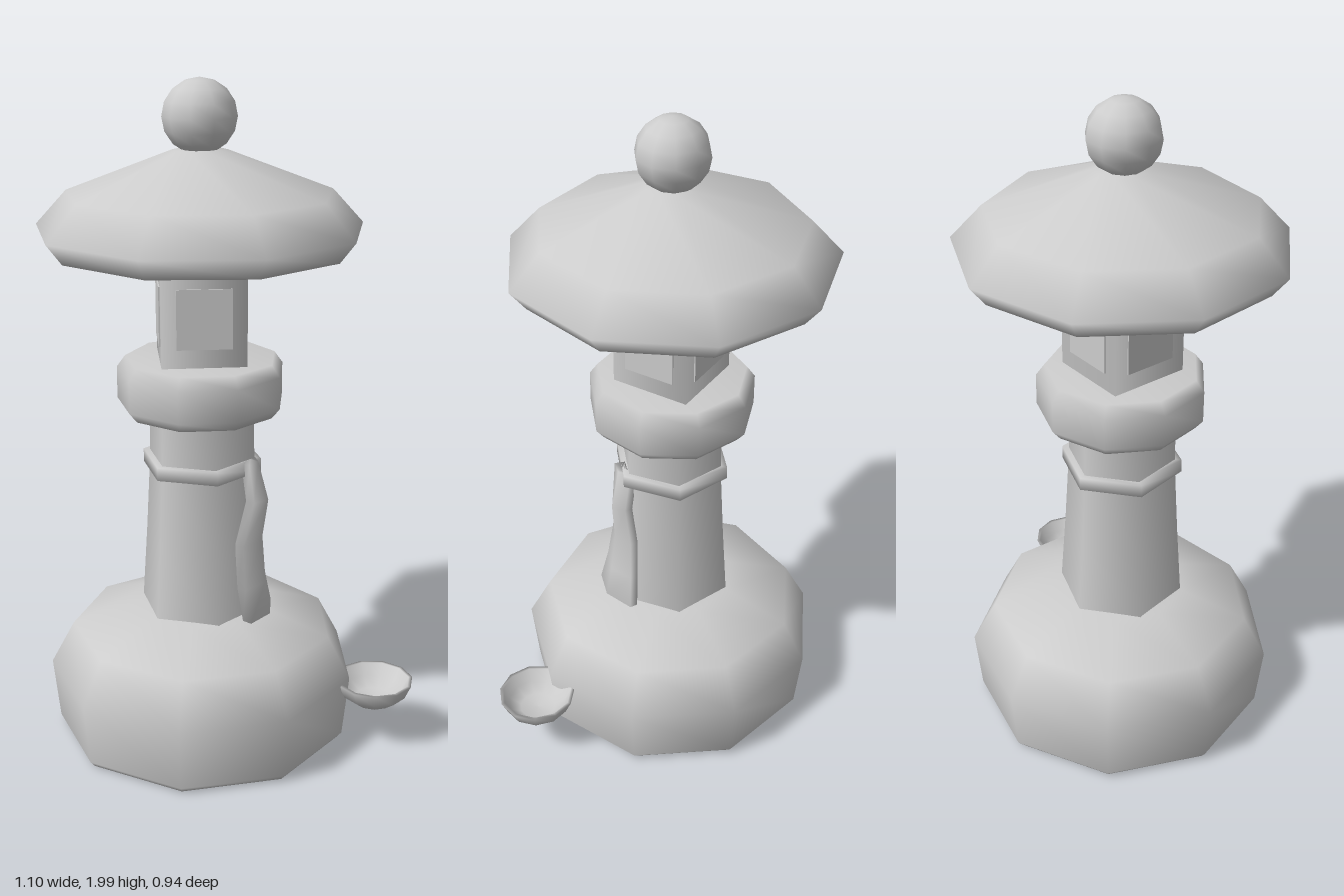
import * as THREE from 'three';

const CX = -0.08; // axis of the tower

export function createModel() {
  const group = new THREE.Group();
  const stone = new THREE.MeshStandardMaterial({ color: 0xcccccc });
  stone.name = 'stone grey';

  const add = (name, geometry, x = CX, y = 0, z = 0) => {
    const mesh = new THREE.Mesh(geometry, stone);
    mesh.name = name;
    mesh.position.set(x, y, z);
    group.add(mesh);
    return mesh;
  };

  // Few-sided turned part; angle is that of one corner, from +x towards +z
  const turned = (name, profile, sides, angle, x, y, z) => add(name,
    new THREE.LatheGeometry(profile.map(([r, h]) => new THREE.Vector2(r, h)), sides,
      THREE.MathUtils.degToRad(90 - angle)), x, y, z);

  // Tower, from the ground up
  turned('base', [[0, 0.01], [0.435, 0.012], [0.45, 0.03], [0.47, 0.22], [0.4, 0.35], [0.2, 0.42], [0, 0.425]], 9, -17);
  turned('shaft', [[0.192, 0.4], [0.175, 0.65], [0.162, 0.88], [0.16, 1.06]], 6, 20);
  turned('band', [[0.155, 0.86], [0.182, 0.86], [0.182, 0.9], [0.155, 0.9]], 6, 20);
  turned('collar', [[0.12, 1.04], [0.225, 1.04], [0.25, 1.07], [0.25, 1.165], [0.225, 1.2], [0, 1.2]], 9, -10);

  // Square light chamber with a window plate on each side
  const half = 0.123;
  turned('lightChamber', [[half * Math.SQRT2, 1.19], [half * Math.SQRT2, 1.5]], 4, 45);
  for (let i = 0; i < 4; i++) {
    const a = i * Math.PI / 2;
    const plate = add('window', new THREE.BoxGeometry(0.16, 0.175, 0.008),
      CX + Math.sin(a) * half, 1.342, Math.cos(a) * half);
    plate.rotation.y = a;
  }

  // Roof and finial
  turned('roof', [[0, 1.478], [0.13, 1.478], [0.435, 1.52], [0.482, 1.58], [0.39, 1.68], [0.08, 1.8], [0, 1.81]], 9, -6);
  add('finial', new THREE.SphereGeometry(0.107, 10, 8), CX, 1.893, 0);

  // Hanging cloth: rows of y, front edge x z, fold x z, back edge x z
  const rows = [
    [0.9, 0.05, 0.122, 0.08, 0.09, 0.075, 0.05],
    [0.78, 0.065, 0.122, 0.11, 0.095, 0.105, 0.05],
    [0.65, 0.03, 0.145, 0.09, 0.1, 0.1, 0.035],
    [0.52, 0.035, 0.165, 0.1, 0.11, 0.11, 0.03],
    [0.42, 0.05, 0.185, 0.115, 0.12, 0.13, 0.02],
  ];
  const positions = [];
  const index = [];
  const t = 0.022;
  for (const [y, ax, az, fx, fz, bx, bz] of rows) {
    positions.push(ax, y, az, fx, y, fz, bx, y, bz,
      bx - t, y, bz - t / 2, fx - t, y, fz - t, ax - t, y, az - t);
  }
  for (let r = 0; r < rows.length - 1; r++) {
    for (let c = 0; c < 6; c++) {
      const a = r * 6 + c, b = r * 6 + (c + 1) % 6;
      index.push(a, a + 6, b, b, a + 6, b + 6);
    }
  }
  const end = (rows.length - 1) * 6;
  index.push(0, 1, 4, 0, 4, 5, 1, 2, 3, 1, 3, 4);
  index.push(end, end + 4, end + 1, end, end + 5, end + 4, end + 1, end + 3, end + 2, end + 1, end + 4, end + 3);
  const cloth = new THREE.BufferGeometry();
  cloth.setAttribute('position', new THREE.Float32BufferAttribute(positions, 3));
  cloth.setIndex(index);
  cloth.computeVertexNormals();
  add('cloth', cloth, 0);

  // Offering dish
  turned('dish', [[0, 0.14], [0.06, 0.14], [0.1, 0.17], [0.119, 0.213], [0.108, 0.213],
    [0.09, 0.178], [0.055, 0.153], [0, 0.15]], 11, 0, 0.43, 0, 0.18);

  return group;
}
